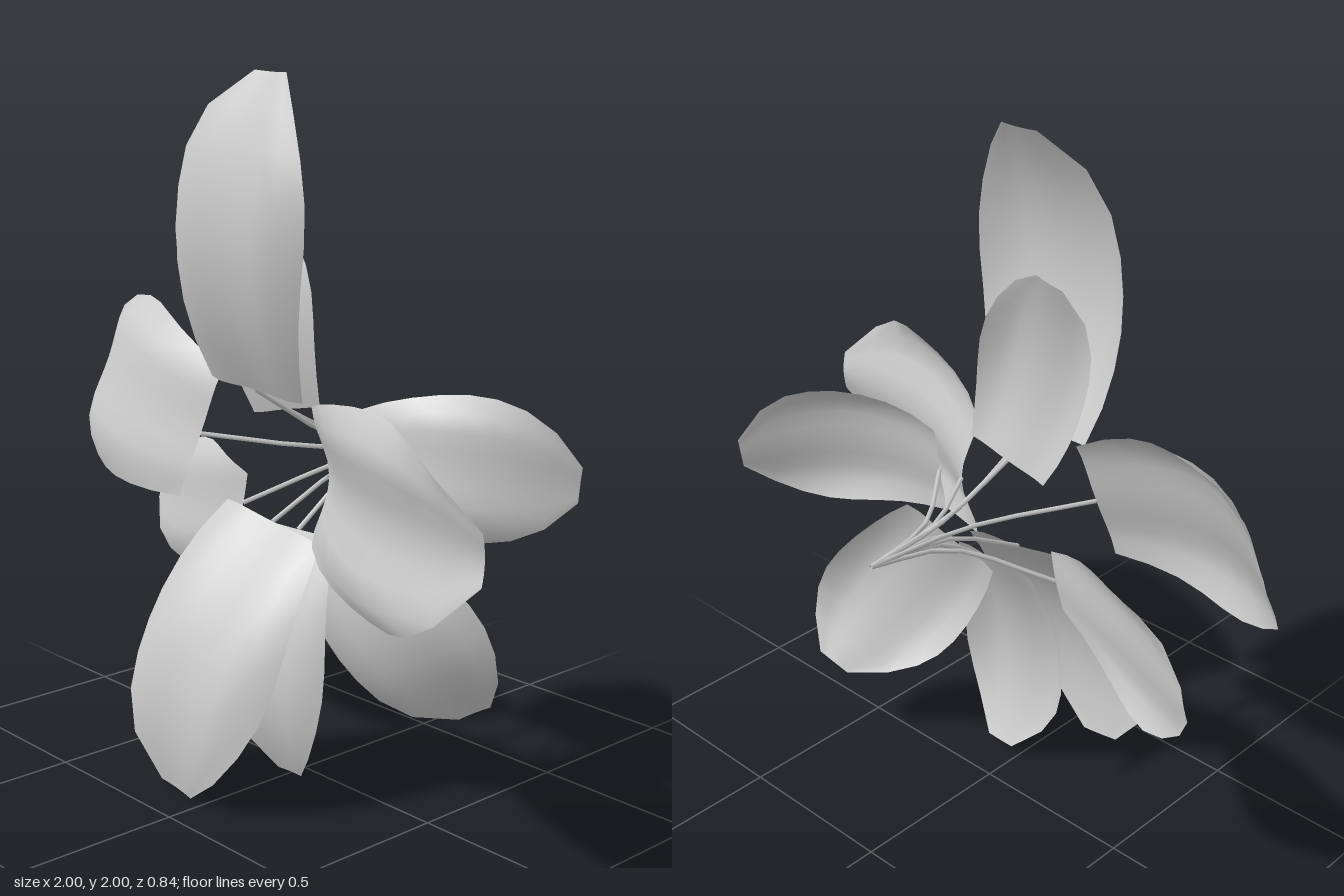
import * as THREE from 'three';

const HUB = new THREE.Vector3(0.03, 0.93, -0.43);

// mid: base, middle and tip of the midrib; side: direction across the blade; half: half width
const LEAVES = [
  { name: 'topFrontLeaf', mid: [[-0.01, 1.15, 0.17], [0.02, 1.6, 0.312], [0.06, 2, 0.17]], side: [1, -0.04, 0.04], half: 0.275 },
  { name: 'topBackLeaf', mid: [[-0.01, 1.08, 0.06], [-0.09, 1.38, 0.105], [-0.18, 1.67, 0.03]], side: [1, 0.22, 0], half: 0.195 },
  { name: 'upperRightLeaf', mid: [[-0.24, 0.99, 0.18], [-0.62, 1.08, 0.185], [-0.99, 1.1, -0.06]], side: [0.18, 0.95, -0.28], half: 0.265 },
  { name: 'lowerRightLeaf', mid: [[-0.21, 0.77, 0.05], [-0.5, 0.71, 0.01], [-0.78, 0.7, -0.09]], side: [0.22, 0.95, -0.05], half: 0.215, pinch: 0.4 },
  { name: 'bottomFrontLeaf', mid: [[0, 0.77, 0.12], [-0.06, 0.4, 0.37], [-0.12, 0.01, 0.38]], side: [1, -0.14, 0], half: 0.275 },
  { name: 'bottomBackLeaf', mid: [[0.03, 0.74, 0.05], [0.04, 0.37, 0.185], [0.06, 0.04, 0.11]], side: [1, 0.03, 0], half: 0.2 },
  { name: 'lowerLeftLeaf', mid: [[0.2, 0.75, 0.04], [0.39, 0.49, 0.01], [0.5, 0.27, -0.18]], side: [0.82, 0.5, -0.28], half: 0.225 },
  { name: 'upperLeftFrontLeaf', mid: [[0.2, 0.93, 0.09], [0.6, 0.93, 0.305], [1, 0.93, 0.35]], side: [0, 1, 0], half: 0.27, cup: 0, groove: 0.18 },
  { name: 'upperLeftBackLeaf', mid: [[0.23, 0.97, 0.03], [0.53, 0.99, -0.04], [0.76, 0.95, -0.28]], side: [0, 0.98, -0.15], half: 0.195 },
];

// relative blade width from the blunt base to the rounded tip
const PROFILE = [0.72, 0.83, 0.91, 0.97, 1, 0.98, 0.88, 0.65, 0.24];
const ROWS = PROFILE.length - 1;
const COLS = 8;

// smooth arc that passes through the middle point
function arcThrough([start, middle, end]) {
  const control = middle.clone().multiplyScalar(2).addScaledVector(start, -0.5).addScaledVector(end, -0.5);
  return new THREE.QuadraticBezierCurve3(start, control, end);
}

// cup bends the edges back, groove sinks the midrib, pinch narrows the base
function bladeGeometry(curve, { side, half, cup = 0.2, groove = 0.1, pinch = 0 }) {
  const across = new THREE.Vector3(...side).normalize();
  const positions = [], index = [];
  for (let i = 0; i <= ROWS; i++) {
    const u = i / ROWS;
    const centre = curve.getPointAt(u);
    const normal = curve.getTangentAt(u).cross(across).normalize();
    if (normal.z < 0) normal.negate();
    const width = PROFILE[i] * (1 - pinch * (1 - u) ** 3);
    for (let j = 0; j <= COLS; j++) {
      const w = ((j / COLS) * 2 - 1) * width;
      const lift = groove * 4 * w * w * (1 - w * w) - cup * w * w;
      const p = centre.clone()
        .addScaledVector(across, w * half)
        .addScaledVector(normal, lift * half);
      positions.push(p.x, p.y, p.z);
      if (i < ROWS && j < COLS) {
        const a = i * (COLS + 1) + j, b = a + COLS + 1;
        index.push(a, a + 1, b, a + 1, b + 1, b);
      }
    }
  }
  const geometry = new THREE.BufferGeometry();
  geometry.setAttribute('position', new THREE.Float32BufferAttribute(positions, 3));
  geometry.setIndex(index);
  geometry.computeVertexNormals();
  return geometry;
}

// thin stalk that leaves the hub forwards, then fans out to the blade base
function stalkGeometry(end) {
  const reach = end.clone().sub(HUB);
  const bend = reach.clone().multiply(new THREE.Vector3(0.22, 0.22, 0.53)).add(HUB);
  return new THREE.TubeGeometry(new THREE.CatmullRomCurve3([HUB, bend, end]), 6, 0.007, 5);
}

export function createModel() {
  const model = new THREE.Group();
  model.name = 'leafCluster';
  const material = new THREE.MeshStandardMaterial({ color: 0xcccccc, side: THREE.DoubleSide });
  for (const leaf of LEAVES) {
    const points = leaf.mid.map(p => new THREE.Vector3(...p));
    const group = new THREE.Group();
    group.name = leaf.name;
    const blade = new THREE.Mesh(bladeGeometry(arcThrough(points), leaf), material);
    blade.name = 'blade';
    const stalk = new THREE.Mesh(stalkGeometry(points[0]), material);
    stalk.name = 'stalk';
    group.add(blade, stalk);
    model.add(group);
  }
  return model;
}
